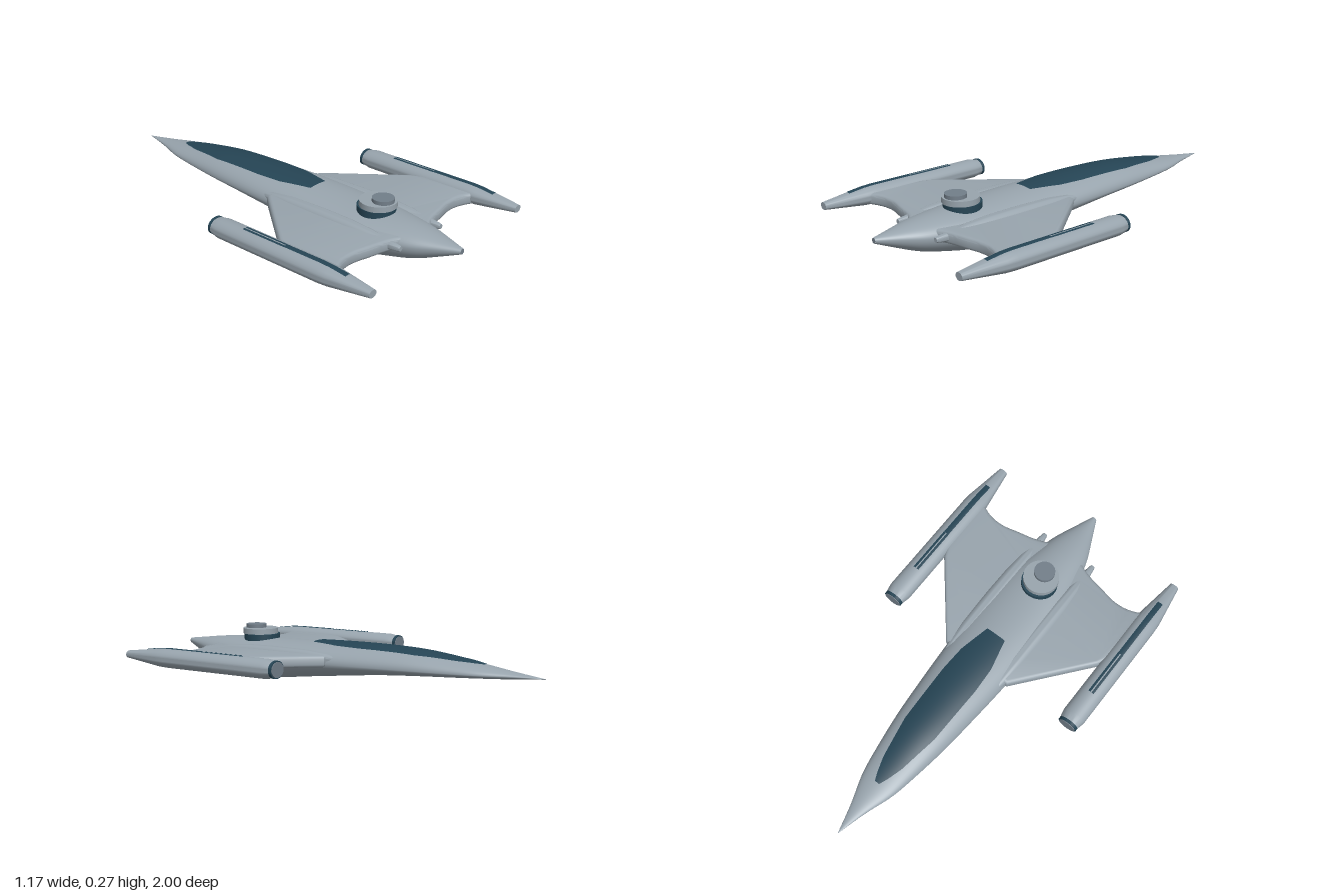
import * as THREE from 'three';
import { mergeVertices, toCreasedNormals } from 'three/addons/utils/BufferGeometryUtils.js';

const hullGrey = new THREE.MeshStandardMaterial({ color: 0x98a4ad });
hullGrey.name = 'hullGrey';
const darkTeal = new THREE.MeshStandardMaterial({ color: 0x254454 });
darkTeal.name = 'darkTeal';
const capGrey = new THREE.MeshStandardMaterial({ color: 0x727e89 });
capGrey.name = 'capGrey';

// Smooth interpolation through rows of [z, value, value, ...]
function sample(rows, z, smooth = true) {
  let i = 0;
  while (i < rows.length - 2 && z > rows[i + 1][0]) i++;
  const a = rows[i], b = rows[i + 1], h = b[0] - a[0], t = (z - a[0]) / h;
  const p = rows[Math.max(i - 1, 0)], q = rows[Math.min(i + 2, rows.length - 1)];
  return a.slice(1).map((v, k) => {
    const c = k + 1;
    if (!smooth) return v + (b[c] - v) * t;
    const ma = ((b[c] - p[c]) / (b[0] - p[0])) * h, mb = ((q[c] - a[c]) / (q[0] - a[0])) * h;
    const t2 = t * t, t3 = t2 * t;
    return (2 * t3 - 3 * t2 + 1) * v + (t3 - 2 * t2 + t) * ma + (3 * t2 - 2 * t3) * b[c] + (t3 - t2) * mb;
  });
}

// A grid whose vertices are placed by place(u, v)
function surface(nu, nv, place) {
  let geo = new THREE.PlaneGeometry(1, 1, nu, nv);
  const pos = geo.attributes.position, uv = geo.attributes.uv;
  for (let i = 0; i < pos.count; i++) pos.setXYZ(i, ...place(uv.getX(i), uv.getY(i)));
  geo.deleteAttribute('uv');
  geo.deleteAttribute('normal');
  geo = mergeVertices(geo, 1e-5);
  geo.computeVertexNormals();
  return geo;
}

// Thin skin laid over an upper surface
const drape = (z0, z1, halfWidth, height, cx = 0) => surface(12, 40, (u, v) => {
  const z = z1 + (z0 - z1) * v, x = cx + (u * 2 - 1) * halfWidth(z);
  return [x, height(x, z), z];
});

// Profile of [radius, z] turned around the z axis
function turned(profile, squash = 1) {
  const geo = new THREE.LatheGeometry(profile.map(([r, z]) => new THREE.Vector2(r, z)), 32);
  geo.rotateX(Math.PI / 2);
  geo.scale(1, squash, 1);
  return toCreasedNormals(geo, 0.6);
}

// Fuselage stations: z, half width, bottom, middle, top
const HULL = [
  [-1, 0.001, 0.129, 0.13, 0.131], [-0.86, 0.04, 0.118, 0.132, 0.148],
  [-0.72, 0.088, 0.111, 0.132, 0.167], [-0.6, 0.112, 0.105, 0.132, 0.184],
  [-0.4, 0.141, 0.095, 0.132, 0.208], [-0.2, 0.159, 0.081, 0.131, 0.216],
  [0, 0.173, 0.06, 0.13, 0.216], [0.2, 0.182, 0.038, 0.13, 0.211],
  [0.4, 0.181, 0.014, 0.13, 0.206], [0.53, 0.168, 0.004, 0.13, 0.205],
  [0.7, 0.13, 0.034, 0.132, 0.201], [0.8, 0.102, 0.06, 0.138, 0.193],
  [0.9, 0.058, 0.1, 0.148, 0.181], [1, 0.013, 0.143, 0.156, 0.169],
];
const CANOPY = [[-0.715, 0.012], [-0.68, 0.028], [-0.6, 0.053], [-0.4, 0.087],
  [-0.1, 0.095], [0.03, 0.088], [0.185, 0.052]];
const POD = [[0, 0.055], [0.048, 0.055], [0.058, 0.1], [0.058, 0.68], [0.055, 0.73], [0.023, 0.94], [0, 0.94]];

export function createModel() {
  const group = new THREE.Group();
  const add = (name, geo, mat, x = 0, y = 0, z = 0) => {
    const mesh = new THREE.Mesh(geo, mat);
    mesh.name = name;
    mesh.position.set(x, y, z);
    group.add(mesh);
    return mesh;
  };

  // Fuselage with elliptical upper and lower halves
  add('fuselage', surface(48, 80, (u, v) => {
    const z = v * 2 - 1, [w, lo, mid, hi] = sample(HULL, z);
    const a = u * Math.PI * 2 - Math.PI / 2, s = Math.sin(a);
    return [w * Math.cos(a), mid + s * (s > 0 ? hi - mid : mid - lo), z];
  }), hullGrey);
  add('tailNozzle', new THREE.CircleGeometry(0.013, 20), capGrey, 0, 0.156, 1);

  // Canopy glass
  add('canopy', drape(-0.715, 0.185, z => sample(CANOPY, z, false)[0], (x, z) => {
    const [w, , mid, hi] = sample(HULL, z);
    return mid + (hi - mid) * Math.sqrt(Math.max(0, 1 - (x / w) ** 2)) + 0.005;
  }), darkTeal);

  // Both wings as one slab running through the fuselage
  const wing = new THREE.Shape();
  wing.moveTo(0, 0.03);
  wing.lineTo(0.182, 0.03);
  wing.lineTo(0.465, 0.375);
  wing.lineTo(0.5, 0.45);
  wing.lineTo(0.5, 0.735);
  wing.bezierCurveTo(0.43, 0.69, 0.37, 0.68, 0.29, 0.7);
  wing.bezierCurveTo(0.22, 0.72, 0.18, 0.715, 0.1, 0.755);
  wing.lineTo(-0.1, 0.755);
  wing.bezierCurveTo(-0.18, 0.715, -0.22, 0.72, -0.29, 0.7);
  wing.bezierCurveTo(-0.37, 0.68, -0.43, 0.69, -0.5, 0.735);
  wing.lineTo(-0.5, 0.45);
  wing.lineTo(-0.465, 0.375);
  wing.lineTo(-0.182, 0.03);
  const wingGeo = new THREE.ExtrudeGeometry(wing, {
    depth: 0.027, bevelThickness: 0.015, bevelSize: 0.018, bevelOffset: -0.018,
    bevelSegments: 3, curveSegments: 10,
  });
  wingGeo.rotateX(Math.PI / 2);
  add('wings', toCreasedNormals(wingGeo, 0.6), hullGrey, 0, 0.157, 0);

  // Height of the engine pod skin, for its stripes
  const podTop = cx => (x, z) => {
    const r = sample(POD.slice(1, -1).map(([radius, zz]) => [zz, radius]), z, false)[0];
    return 0.15 + 0.78 * Math.sqrt(r * r - (x - cx) ** 2) + 0.003;
  };

  for (const [side, s] of [['left', 1], ['right', -1]]) {
    // Shoulder fairing and small thruster
    add(side + 'Fairing', turned([[0, -0.1], [0.014, -0.04], [0.03, 0.04], [0.04, 0.15], [0.043, 0.35],
      [0.041, 0.5], [0.033, 0.62], [0.018, 0.72], [0, 0.74]]), hullGrey, s * 0.145, 0.147, 0);
    add(side + 'Thruster', turned([[0, 0.66], [0.018, 0.68], [0.02, 0.73], [0.014, 0.775], [0.011, 0.785], [0, 0.785]]),
      hullGrey, s * 0.145, 0.146, 0);

    // Wingtip engine pod with its front ring and cap
    const px = s * 0.525;
    add(side + 'Pod', turned(POD, 0.78), hullGrey, px, 0.15, 0);
    add(side + 'PodRing', turned([[0, 0.046], [0.049, 0.046], [0.049, 0.06], [0, 0.06]], 0.83), darkTeal, px, 0.15, 0);
    add(side + 'PodCap', turned([[0, 0.042], [0.043, 0.042], [0.043, 0.05], [0, 0.05]], 0.83), capGrey, px, 0.15, 0);

    // Pod stripe, split in two towards the front
    add(side + 'RearStripe', drape(0.47, 0.81, () => 0.014, podTop(px), px), darkTeal);
    for (const d of [-0.009, 0.009])
      add(side + 'FrontStripe', drape(0.23, 0.47, () => 0.006, podTop(px), px + d), darkTeal);
  }

  // Round turret stacked behind the canopy
  const disc = (name, r, y0, y1, z, mat) =>
    add(name, new THREE.CylinderGeometry(r, r, y1 - y0, 40), mat, 0, (y0 + y1) / 2, z);
  disc('turretBase', 0.089, 0.185, 0.226, 0.533, darkTeal);
  disc('turretRing', 0.087, 0.226, 0.253, 0.543, hullGrey);
  disc('turretTop', 0.051, 0.25, 0.271, 0.57, capGrey);

  return group;
}
